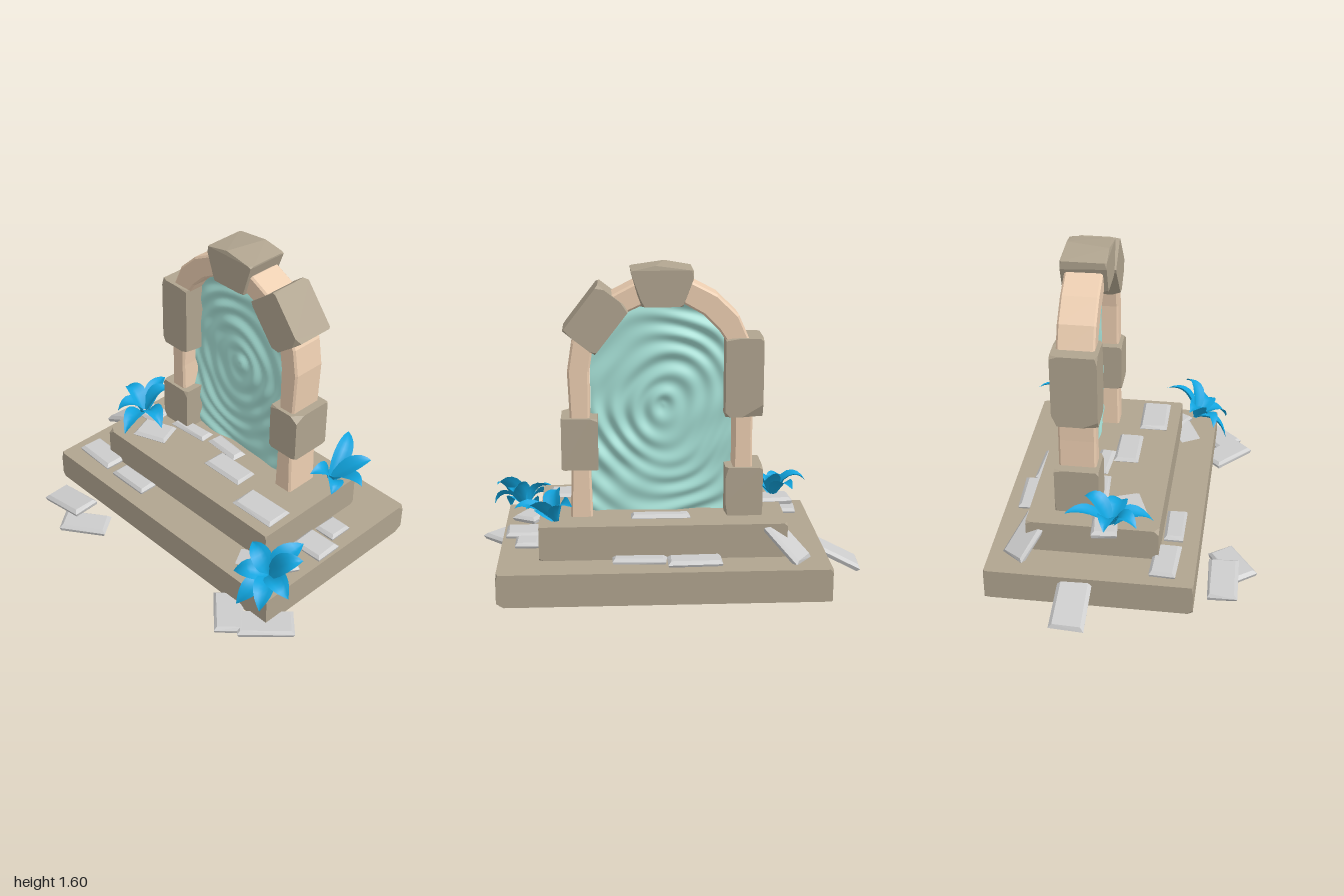
import * as THREE from 'three';
import { ConvexGeometry } from 'three/addons/geometries/ConvexGeometry.js';
import { mergeGeometries } from 'three/addons/utils/BufferGeometryUtils.js';

const V = (x, y, z) => new THREE.Vector3(x, y, z);

export function createModel() {
  const model = new THREE.Group();
  const mat = (color, opts = {}) => new THREE.MeshStandardMaterial({ color, ...opts });
  const stone = mat(0xb0a48f, { flatShading: true });
  const sandstone = mat(0xebcdb0, { flatShading: true });
  const slate = mat(0xcccccc, { flatShading: true });
  const water = mat(0xa6e0d6, { side: THREE.DoubleSide });
  const petal = mat(0x10a4de, { side: THREE.DoubleSide });

  // Seeded random for chips and wobble
  let seed = 7;
  const rnd = () => (seed = (seed * 16807) % 2147483647) / 2147483647;

  const add = (name, geometry, material, parent = model) => {
    const mesh = new THREE.Mesh(geometry, material);
    mesh.name = name;
    parent.add(mesh);
    return mesh;
  };

  // Stone block whose eight corners are each cut by a random chip
  function block(name, [x, y, z], [w, h, d], chip = 0.03, taper = 1, extra = []) {
    const pts = [...extra];
    for (const sx of [-1, 1]) for (const sy of [-1, 1]) for (const sz of [-1, 1]) {
      const k = sy < 0 ? taper : 1;
      for (let axis = 0; axis < 3; axis++) {
        const c = chip * (0.15 + rnd() * rnd() * 1.6);
        pts.push(V(
          sx * (w / 2 * k - (axis === 0 ? c : 0)),
          sy * (h / 2 - (axis === 1 ? c : 0)),
          sz * (d / 2 - (axis === 2 ? c : 0))));
      }
    }
    const mesh = add(name, new ConvexGeometry(pts), stone);
    mesh.position.set(x, y, z);
    return mesh;
  }

  // Stepped base
  block('lowerStep', [0.04, 0.0975, -0.157], [1.62, 0.165, 1.05], 0.03);
  block('upperStep', [0.04, 0.265, -0.163], [1.22, 0.175, 0.675], 0.035);

  // Sandstone arch: two legs and a faceted round top
  const cx = 0.04, springY = 1.09, outer = 0.455, inner = 0.335, n = 10;
  const out = [[cx + outer, 0.34], [cx + outer - 0.01, 0.7]];
  const inn = [[cx + inner + 0.01, 0.34], [cx + inner + 0.02, 0.7]];
  for (let i = 0; i <= n; i++) {
    const a = Math.PI * i / n, c = Math.cos(a), s = Math.sin(a);
    const ro = outer + (rnd() - 0.5) * 0.015, ri = inner + rnd() * 0.02;
    out.push([cx + ro * c, springY + ro * s]);
    inn.push([cx + ri * c, springY + ri * s]);
  }
  out.push([cx - outer + 0.01, 0.75], [cx - outer, 0.34]);
  inn.push([cx - inner - 0.02, 0.75], [cx - inner - 0.01, 0.34]);
  const archShape = new THREE.Shape([...out, ...inn.reverse()].map(p => new THREE.Vector2(...p)));
  const archGeo = new THREE.ExtrudeGeometry(archShape, {
    depth: 0.17, bevelSize: 0.01, bevelOffset: -0.01, bevelThickness: 0.01, bevelSegments: 1,
  });
  add('arch', archGeo.translate(0, 0, -0.34), sandstone);

  // Larger stones clasping the arch
  const bz = -0.255;
  block('leftmostFootStone', [-0.367, 0.475, bz], [0.185, 0.25, 0.225], 0.05);
  block('sideStone', [-0.362, 1.055, bz], [0.185, 0.39, 0.23], 0.06);
  block('sideStone', [0.445, 0.73, bz], [0.18, 0.26, 0.23], 0.04);
  block('shoulderStone', [0.357, 1.345, bz], [0.195, 0.28, 0.23], 0.04).rotation.z = 0.66;
  block('keystone', [0.04, 1.495, bz], [0.3, 0.175, 0.23], 0.035, 0.68,
    [V(-0.02, 0.11, 0.11), V(0.03, 0.11, -0.11)]);

  // Rippling portal surface filling the arch
  const portal = new THREE.PlaneGeometry(2, 1, 70, 110);
  const pos = portal.attributes.position;
  for (let i = 0; i < pos.count; i++) {
    const y = 0.34 + (pos.getY(i) + 0.5) * 1.09;
    const up = Math.max(0, y - springY);
    const x = cx + pos.getX(i) * Math.sqrt(0.35 * 0.35 - up * up);
    const dx = x - 0.03, dy = (y - 0.9) * 0.9;
    const r = Math.hypot(dx, dy)
      + 0.012 * Math.sin(11 * dx + 5 * dy) + 0.012 * Math.sin(13 * dy - 9 * dx + 1);
    const z = -0.25 + 0.009 * Math.sin(r * 72) * (0.75 + 0.35 * Math.sin(9 * x + 7 * y))
      + 0.003 * Math.sin(30 * y + 14 * x);
    pos.setXYZ(i, x, y, z);
  }
  portal.computeVertexNormals();
  add('portalSurface', portal, water);

  // Loose paving slabs: x, y, z, width, depth, turn, roll, pitch
  const slabs = new THREE.Group();
  slabs.name = 'pavingSlabs';
  model.add(slabs);
  const tiles = [
    // leaning against the steps
    [-0.57, 0.255, -0.505, 0.25, 0.15, -0.64, 0.7], [-0.845, 0.1, -0.225, 0.31, 0.18, -0.05, 0.47],
    // on the lower step
    [-0.11, 0.19, -0.56, 0.27, 0.12, 0.03], [0.16, 0.19, -0.535, 0.27, 0.08, -0.04],
    [0.72, 0.19, -0.26, 0.13, 0.14, 0], [0.745, 0.19, -0.1, 0.19, 0.16, 0.02],
    [-0.59, 0.19, 0.21, 0.25, 0.14, -0.04], [-0.3, 0.19, 0.235, 0.25, 0.11, 0],
    [0.61, 0.175, 0.19, 0.26, 0.15, 0.5, 0.12], [0.72, 0.195, 0.13, 0.16, 0.14, 1.05],
    // on the upper step
    [0.14, 0.353, -0.07, 0.26, 0.14, 0], [0.48, 0.353, 0.035, 0.27, 0.16, 0.03],
    [-0.38, 0.353, 0, 0.2, 0.16, 0.35], [-0.25, 0.353, -0.16, 0.24, 0.09, 0.06],
    [0.0, 0.353, -0.185, 0.22, 0.09, -0.08], [-0.54, 0.353, -0.1, 0.2, 0.14, 0.1],
    [0.05, 0.353, -0.36, 0.3, 0.08, 0],
    // on the ground
    [-0.53, 0.053, 0.5, 0.27, 0.16, 0.04, 0.13], [-0.36, 0.018, 0.54, 0.26, 0.15, 0.62],
    [0.66, 0.02, 0.44, 0.27, 0.16, -0.75], [0.84, 0.018, 0.36, 0.29, 0.17, 0.8],
  ];
  for (const [x, y, z, w, d, turn, roll = 0] of tiles) {
    const pts = [];
    for (const [py, inset] of [[-0.017, 0.006], [0.002, 0], [0.017, 0.016]])
      for (const sx of [-1, 1]) for (const sz of [-1, 1])
        pts.push(V(sx * (w / 2 - inset - rnd() * 0.006), py, sz * (d / 2 - inset - rnd() * 0.006)));
    const tile = add('pavingSlab', new ConvexGeometry(pts), slate, slabs);
    tile.position.set(x, y, z);
    tile.rotation.set(0, turn, roll, 'YXZ');
  }

  // Folded leaf swept along a bowed curve from base to tip
  function leaf(base, tip, axis, bow, width) {
    const rows = 9, cols = 5, p = [], index = [];
    const ctrl = base.clone().lerp(tip, 0.5).addScaledVector(axis, bow);
    const curve = new THREE.QuadraticBezierCurve3(base, ctrl, tip);
    const side = tip.clone().sub(base).cross(axis).normalize();
    for (let i = 0; i < rows; i++) {
      const t = i / (rows - 1), c = curve.getPoint(t);
      const w = width / 2 * (0.2 * (1 - t) + Math.sin(Math.PI * Math.pow(t, 0.85)));
      const lift = side.clone().cross(curve.getTangent(t)).normalize();
      for (let j = 0; j < cols; j++) {
        const u = j / (cols - 1) * 2 - 1;
        const q = c.clone().addScaledVector(side, u * w).addScaledVector(lift, Math.abs(u) * w * 0.4);
        p.push(q.x, q.y, q.z);
        if (i && j) {
          const k = i * cols + j;
          index.push(k, k - 1, k - cols - 1, k, k - cols - 1, k - cols);
        }
      }
    }
    const g = new THREE.BufferGeometry();
    g.setAttribute('position', new THREE.Float32BufferAttribute(p, 3));
    g.setIndex(index);
    g.computeVertexNormals();
    return g;
  }

  // Plants: root, growing direction, leaf tips
  const plants = [
    [[-0.55, 0.345, -0.07], [0, 1, 0], [[-0.62, 0.46, -0.29], [-0.49, 0.48, -0.21], [-0.36, 0.37, -0.03],
      [-0.48, 0.35, 0.14], [-0.62, 0.4, 0.07], [-0.72, 0.44, -0.08]]],
    [[0.56, 0.34, -0.4], [0.4, 0.9, -0.1], [[0.48, 0.5, -0.63], [0.7, 0.47, -0.56], [0.77, 0.42, -0.41],
      [0.55, 0.46, -0.25], [0.66, 0.36, -0.3]]],
    [[0.74, 0.2, 0.24], [0.3, 0.85, 0.4], [[0.81, 0.35, 0.07], [0.9, 0.36, 0.17], [0.93, 0.21, 0.3],
      [0.85, 0.15, 0.42], [0.7, 0.1, 0.43], [0.61, 0.22, 0.36], [0.6, 0.32, 0.22]]],
  ];
  for (const [root, dir, tips] of plants) {
    const axis = V(...dir).normalize();
    const leaves = tips.map(t => leaf(V(...root), V(...t), axis, 0.1 + rnd() * 0.04, 0.085 + rnd() * 0.02));
    add('leafyPlant', mergeGeometries(leaves), petal);
  }
  return model;
}
